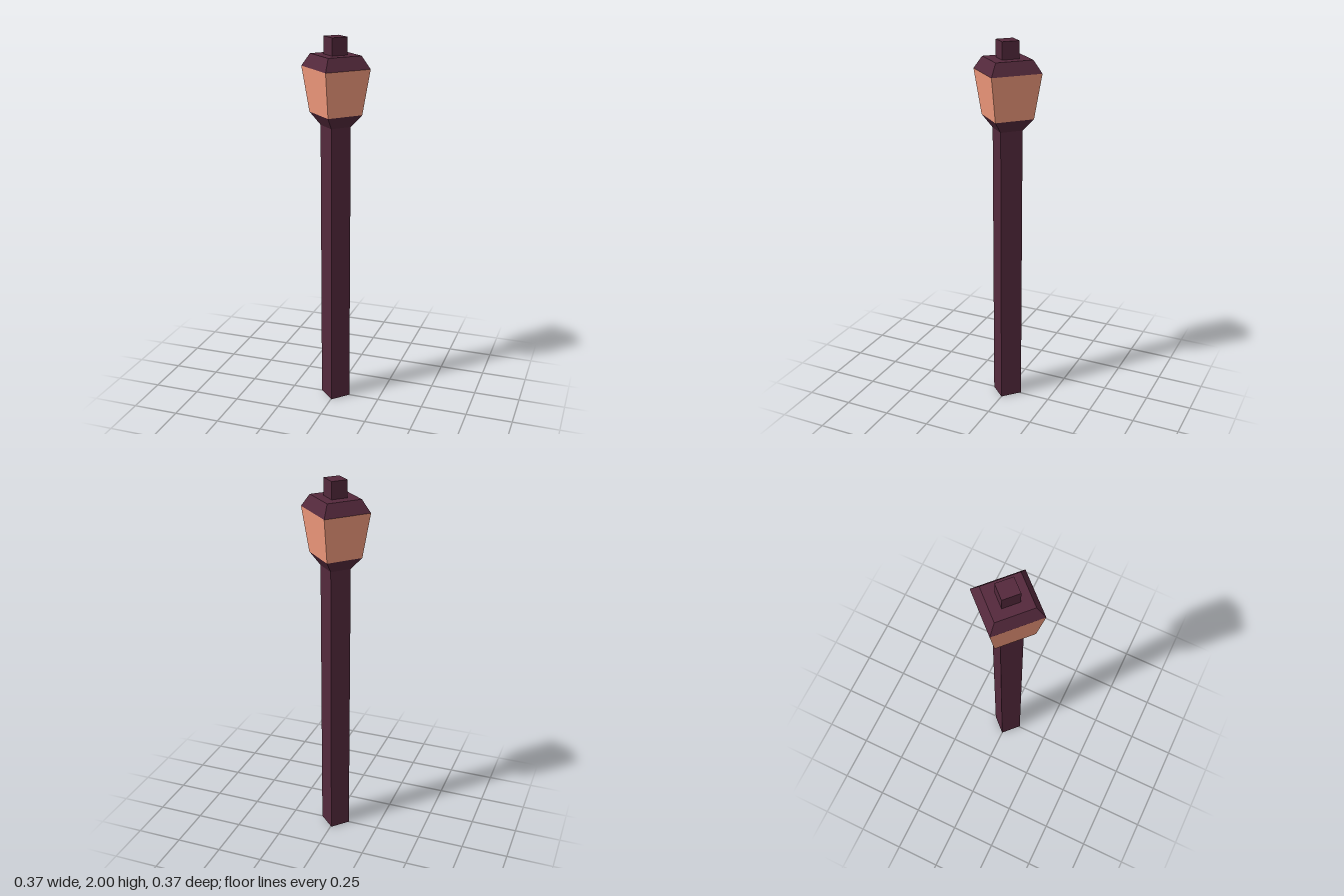
import * as THREE from 'three';

const metal = new THREE.MeshStandardMaterial({ color: 0x54293c, flatShading: true });
const glass = new THREE.MeshStandardMaterial({ color: 0xf59c7e, flatShading: true });

// Four-sided tapered section with corners on the axes, slightly skewed in plan
function section(name, y0, y1, r0, r1, material, openEnded = false) {
  const geometry = new THREE.CylinderGeometry(r1, r0, y1 - y0, 4, 1, openEnded);
  const pos = geometry.attributes.position;
  for (let i = 0; i < pos.count; i++) {
    pos.setX(i, pos.getX(i) + 0.062 * pos.getZ(i));
  }
  geometry.computeVertexNormals();
  const mesh = new THREE.Mesh(geometry, material);
  mesh.position.y = (y0 + y1) / 2;
  mesh.name = name;
  return mesh;
}

export function createModel() {
  const group = new THREE.Group();
  group.name = 'streetLamp';
  group.add(
    section('post', 0, 1.545, 0.082, 0.082, metal),
    section('lanternCup', 1.545, 1.61, 0.082, 0.143, metal, true),
    section('lanternGlass', 1.61, 1.845, 0.143, 0.185, glass, true),
    section('lanternRoof', 1.845, 1.91, 0.185, 0.137, metal),
    section('chimney', 1.91, 2, 0.063, 0.063, metal),
  );
  return group;
}
